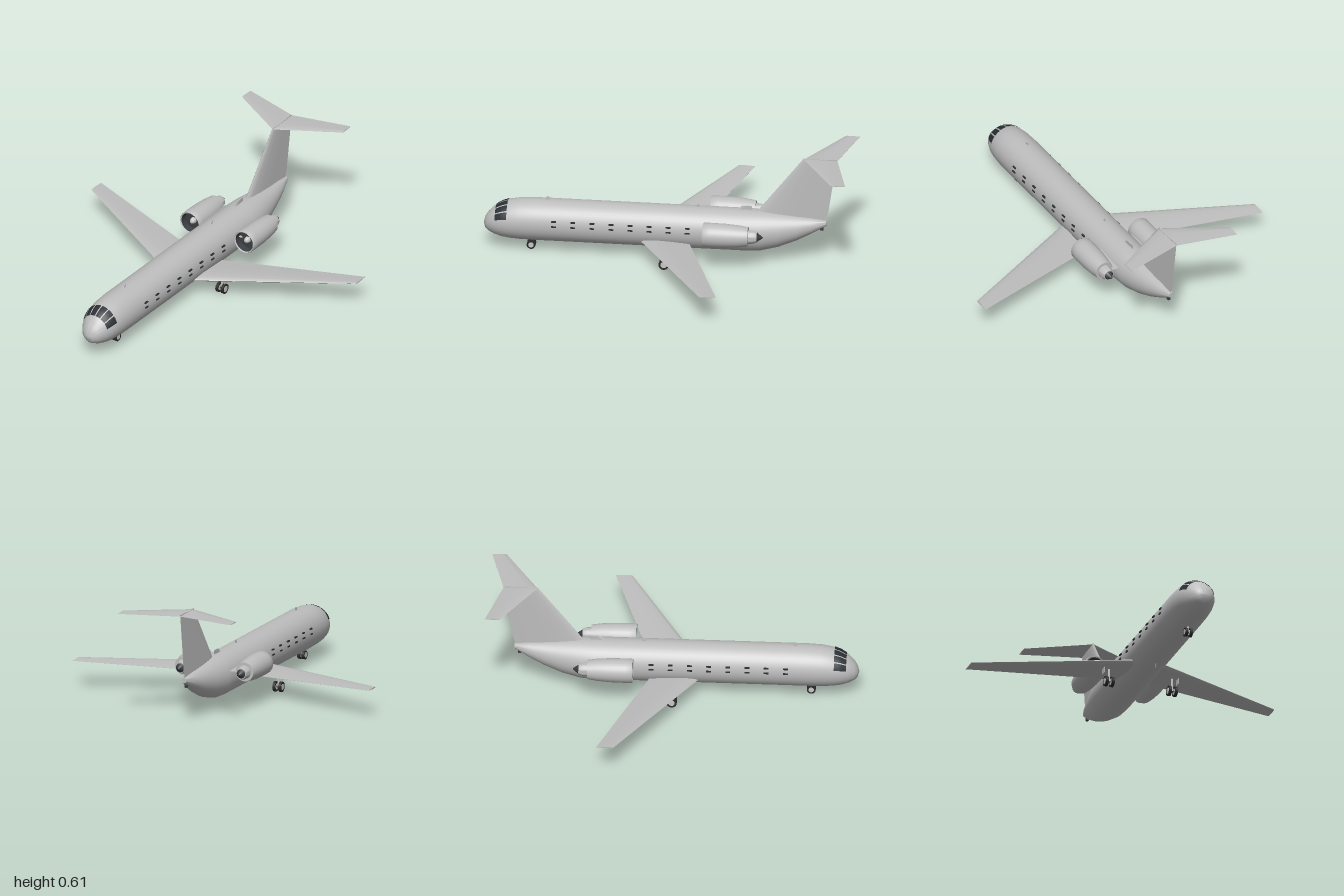
import * as THREE from 'three';
import { toCreasedNormals, mergeVertices } from 'three/addons/utils/BufferGeometryUtils.js';

const mat = (name, color, side = THREE.FrontSide) => {
  const m = new THREE.MeshStandardMaterial({ color, side });
  m.name = name;
  return m;
};

// Skin through equal-length rings of [x, y, z], capped at both ends, faces outward.
function loft(rings, crease = 0.7) {
  const n = rings[0].length, pos = rings.flat(2), idx = [];
  for (let r = 0; r < rings.length - 1; r++)
    for (let i = 0; i < n; i++) {
      const a = r * n + i, b = r * n + (i + 1) % n;
      idx.push(a, b, a + n, b, b + n, a + n);
    }
  const last = (rings.length - 1) * n;
  for (let i = 1; i < n - 1; i++) idx.push(0, i + 1, i, last, last + i, last + i + 1);
  // Signed volume tells whether the winding needs flipping
  let vol = 0;
  const v = i => new THREE.Vector3().fromArray(pos, idx[i] * 3);
  for (let i = 0; i < idx.length; i += 3) vol += v(i).dot(v(i + 1).cross(v(i + 2)));
  if (vol < 0) idx.reverse();
  const g = new THREE.BufferGeometry();
  g.setAttribute('position', new THREE.Float32BufferAttribute(pos, 3));
  g.setIndex(idx);
  return toCreasedNormals(g, crease);
}

// Aerofoil loop: [distance along chord, half thickness]
const FOIL = [[0, 0], [0.03, 0.5], [0.12, 0.85], [0.3, 1], [0.6, 0.7], [1, 0.04],
  [1, -0.04], [0.6, -0.7], [0.3, -1], [0.12, -0.85], [0.03, -0.5]];
const wingRing = (x, y, zLead, zTrail, t) =>
  FOIL.map(([c, h]) => [x, y + h * t / 2, zLead + (zTrail - zLead) * c]);
const finRing = (y, zLead, zTrail, t) =>
  FOIL.map(([c, h]) => [h * t / 2, y, zLead + (zTrail - zLead) * c]);

// Fuselage stations: z, top, bottom, half width
const HULL = [
  [1, 0.141, 0.139, 0.002], [0.992, 0.172, 0.112, 0.03], [0.975, 0.2, 0.095, 0.053],
  [0.94, 0.235, 0.078, 0.077], [0.9, 0.26, 0.067, 0.094], [0.86, 0.274, 0.061, 0.103],
  [0.8, 0.285, 0.057, 0.109], [0.72, 0.289, 0.056, 0.111], [-0.42, 0.289, 0.056, 0.111],
  [-0.5, 0.287, 0.059, 0.104], [-0.6, 0.278, 0.085, 0.085], [-0.7, 0.267, 0.127, 0.062],
  [-0.78, 0.259, 0.17, 0.041], [-0.86, 0.247, 0.219, 0.014]];

function hullPoint(z, angle, out = 0) {
  let i = 0;
  while (i < HULL.length - 2 && HULL[i + 1][0] > z) i++;
  const k = (z - HULL[i][0]) / (HULL[i + 1][0] - HULL[i][0]);
  const [, top, bottom, w] = HULL[i].map((s, j) => s + (HULL[i + 1][j] - s) * k);
  return [Math.cos(angle) * (w + out),
    (top + bottom) / 2 + Math.sin(angle) * ((top - bottom) / 2 + out), z];
}

export function createModel() {
  const model = new THREE.Group();
  model.name = 'airliner';
  const paint = mat('grey paint', 0xbdbdbd);
  const dark = mat('dark metal', 0x3c3f43, THREE.DoubleSide);
  const glass = mat('dark glass', 0x2b3035, THREE.DoubleSide);
  const rubber = mat('black rubber', 0x2c2c2c);
  const metal = mat('light metal', 0xc8c8c8);

  const add = (name, geometry, material, parent = model) => {
    const m = new THREE.Mesh(geometry, material);
    m.name = name;
    parent.add(m);
    return m;
  };
  const box = (name, w, h, d, x, y, z, material, parent) => {
    const m = add(name, new THREE.BoxGeometry(w, h, d), material, parent);
    m.position.set(x, y, z);
    return m;
  };

  // Fuselage
  const SIDES = 40;
  add('fuselage', loft(HULL.map(([z]) => Array.from({ length: SIDES },
    (_, i) => hullPoint(z, i / SIDES * Math.PI * 2))), 1), paint);
  box('tailLight', 0.014, 0.028, 0.018, 0, 0.203, -0.832, dark);

  // Cockpit panes, three per side, wrapped on the nose
  const panes = [[88, 68], [64, 44], [40, 18]];
  for (const s of [1, -1])
    for (const [a0, a1] of panes) {
      const g = new THREE.PlaneGeometry(1, 1, 4, 5), p = g.attributes.position;
      for (let i = 0; i < p.count; i++) {
        const angle = THREE.MathUtils.degToRad(a0 + (a1 - a0) * (p.getX(i) + 0.5));
        const [x, y, z] = hullPoint(0.868 + 0.065 * (p.getY(i) + 0.5), angle, 0.003);
        p.setXYZ(i, x * s, y, z);
      }
      g.computeVertexNormals();
      add('cockpitPane', g, glass);
    }

  // Cabin windows, each edged by a dark strip above and below
  for (const s of [1, -1])
    for (let i = 0; i < 8; i++) {
      const z = 0.608 - i * 0.1035;
      box('windowTopEdge', 0.009, 0.007, 0.026, s * 0.109, 0.206, z, glass);
      box('windowBottomEdge', 0.009, 0.007, 0.026, s * 0.111, 0.178, z, glass);
    }

  // Wings
  for (const s of [1, -1])
    add(s > 0 ? 'leftWing' : 'rightWing', loft([
      wingRing(0, 0.103, 0.185, -0.1, 0.034),
      wingRing(s * 0.11, 0.11, 0.127, -0.132, 0.03),
      wingRing(s * 0.868, 0.151, -0.275, -0.366, 0.007)]), paint);

  // T-tail
  add('fin', loft([finRing(0.23, -0.44, -0.85, 0.034), finRing(0.285, -0.485, -0.866, 0.03),
    finRing(0.607, -0.735, -0.915, 0.014)]), paint);
  for (const s of [1, -1])
    add(s > 0 ? 'leftTailplane' : 'rightTailplane', loft([
      wingRing(0, 0.6, -0.735, -0.918, 0.01),
      wingRing(s * 0.33, 0.602, -0.92, -1, 0.005)]), paint);

  // Engines: nacelle with hollow intake, fan, spinner, nozzle and tail cone
  const lathe = (points, sides = 32) => toCreasedNormals(mergeVertices(new THREE.LatheGeometry(
    points.map(([r, z]) => new THREE.Vector2(r, z)), sides).rotateX(Math.PI / 2)), 0.7);
  for (const s of [1, -1]) {
    const engine = new THREE.Group();
    engine.name = s > 0 ? 'leftEngine' : 'rightEngine';
    engine.position.set(s * 0.178, 0.208, 0);
    model.add(engine);
    add('nacelle', lathe([[0.034, -0.455], [0.052, -0.455], [0.06, -0.4], [0.065, -0.33],
      [0.066, -0.25], [0.065, -0.215], [0.062, -0.21], [0.056, -0.214]]), paint, engine);
    add('intakeLining', lathe([[0.056, -0.214], [0.053, -0.26]]), dark, engine);
    add('fan', new THREE.CircleGeometry(0.054, 32).translate(0, 0, -0.25), dark, engine);
    add('spinner', lathe([[0.018, -0.25], [0.015, -0.235], [0.008, -0.225], [0, -0.222]], 20), metal, engine);
    add('nozzle', lathe([[0, -0.503], [0.029, -0.503], [0.036, -0.48], [0.037, -0.45]]), paint, engine);
    add('tailCone', lathe([[0, -0.535], [0.006, -0.53], [0.027, -0.5], [0, -0.5]]), dark, engine);
    add('pylon', loft([wingRing(s * 0.08, 0.21, -0.24, -0.478, 0.024),
      wingRing(s * 0.14, 0.21, -0.24, -0.472, 0.02)]), paint);
  }

  // Antennas and dorsal intake: swept blades [z front, z back, base y, tip y, sweep]
  for (const [name, z0, z1, y0, y1, sweep] of [
    ['frontAntenna', 0.675, 0.645, 0.28, 0.306, 0.016],
    ['rearAntenna', -0.142, -0.17, 0.28, 0.306, 0.016],
    ['bellyAntenna', 0.255, 0.23, 0.065, 0.036, 0.018],
    ['dorsalIntake', -0.355, -0.455, 0.275, 0.311, 0.045]])
    add(name, loft([finRing(y0, z0, z1, 0.009), finRing(y1, z0 - sweep, z1, 0.006)]), paint);

  // Landing gear: twin wheels on a strut
  const gear = (name, x, z, radius, gap, top) => {
    const g = new THREE.Group();
    g.name = name;
    g.position.set(x, radius, z);
    model.add(g);
    const round = (part, r, len, px, m) => {
      add(part, new THREE.CylinderGeometry(r, r, len, 24).rotateZ(Math.PI / 2), m, g).position.x = px;
    };
    for (const s of [1, -1]) {
      round('wheel', radius, 0.015, s * gap, rubber);
      round('hub', radius * 0.62, 0.017, s * gap, metal);
    }
    round('axle', 0.005, gap * 2, 0, dark);
    const h = top - radius;
    add('strut', new THREE.CylinderGeometry(0.006, 0.006, h, 12), metal, g).position.y = h / 2;
  };
  gear('noseGear', 0, 0.742, 0.024, 0.013, 0.08);
  for (const s of [1, -1]) {
    gear(s > 0 ? 'leftMainGear' : 'rightMainGear', s * 0.181, 0, 0.028, 0.017, 0.112);
    box('gearDoor', 0.004, 0.032, 0.042, s * 0.212, 0.086, 0, paint);
  }
  return model;
}
